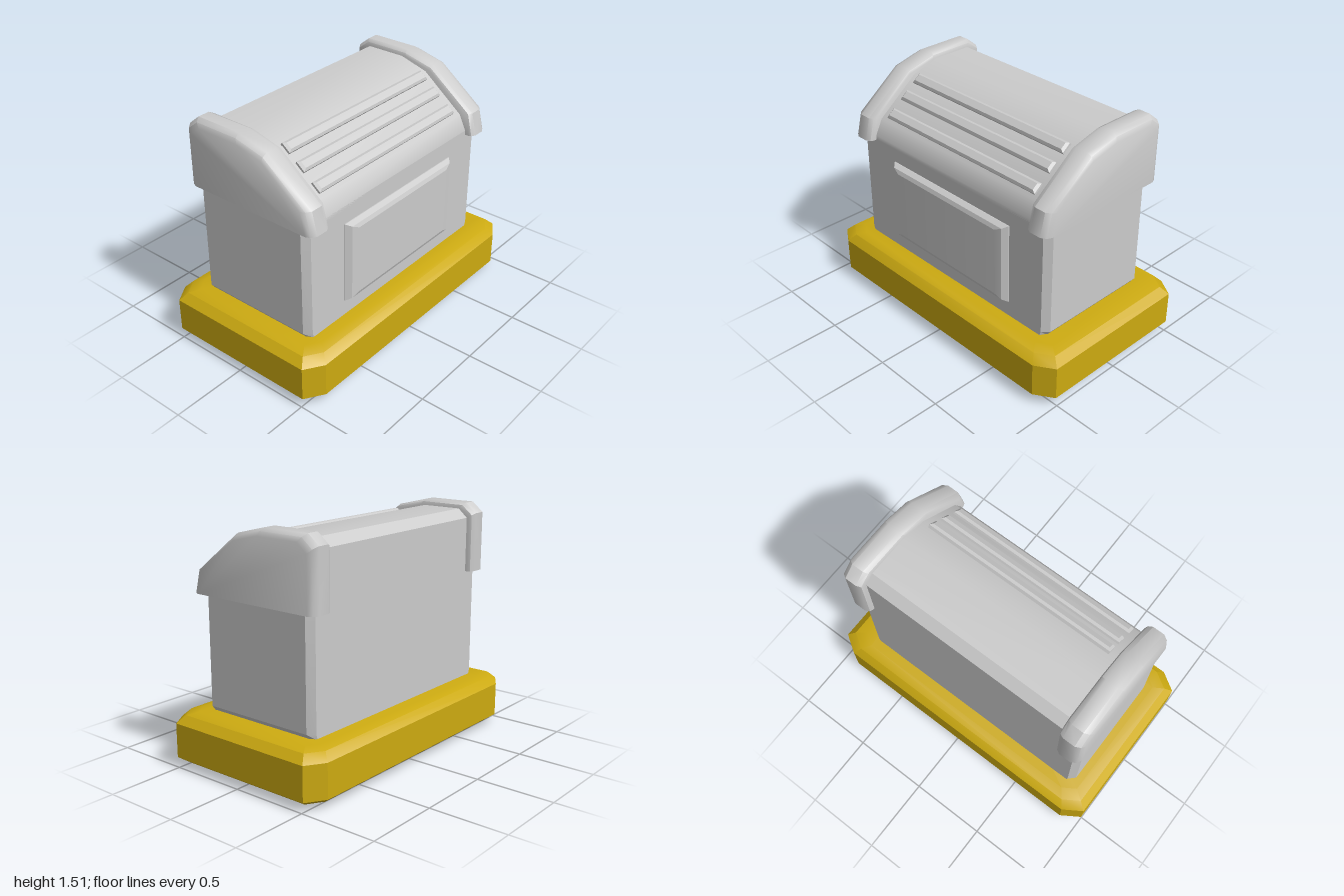
import * as THREE from 'three';
import { toCreasedNormals } from 'three/addons/utils/BufferGeometryUtils.js';

const grey = new THREE.MeshStandardMaterial({ color: 0xcccccc });
const gold = new THREE.MeshStandardMaterial({ color: 0xccaa11 });

// Skins a stack of matching convex rings and closes both ends.
function loft(rings, crease = 0.5) {
  const n = rings[0].length, pos = rings.flat(2), index = [];
  for (let r = 0; r < rings.length - 1; r++) {
    for (let i = 0; i < n; i++) {
      const a = r * n + i, b = r * n + (i + 1) % n;
      index.push(a, b, b + n, a, b + n, a + n);
    }
  }
  const last = (rings.length - 1) * n;
  for (let i = 1; i < n - 1; i++) {
    index.push(0, i + 1, i, last, last + i, last + i + 1);
  }
  // Turn the faces outward if the volume comes out negative
  const v = (i) => new THREE.Vector3().fromArray(pos, i * 3);
  let volume = 0;
  for (let i = 0; i < index.length; i += 3) {
    volume += v(index[i]).dot(v(index[i + 1]).cross(v(index[i + 2])));
  }
  if (volume < 0) index.reverse();
  const geo = new THREE.BufferGeometry();
  geo.setAttribute('position', new THREE.Float32BufferAttribute(pos, 3));
  geo.setIndex(index);
  return toCreasedNormals(geo, crease);
}

// Rectangle with cut corners at height y
const octagon = (w, d, cx, cz, y) => [
  [w, d - cz], [w - cx, d], [cx - w, d], [-w, d - cz],
  [-w, cz - d], [cx - w, -d], [w - cx, -d], [w, cz - d],
].map(([x, z]) => [x, y, z]);

const rectangle = (w, d, y) => [[w, y, d], [-w, y, d], [-w, y, -d], [w, y, -d]];

function add(parent, name, geometry, material = grey) {
  const mesh = new THREE.Mesh(geometry, material);
  mesh.name = name;
  parent.add(mesh);
  return mesh;
}

export function createModel() {
  const model = new THREE.Group();
  model.name = 'chest';

  // Bevelled plinth: [y, inset]
  const baseSteps = [[0, 0.12], [0.02, 0.065], [0.065, 0], [0.283, 0], [0.33, 0.05], [0.345, 0.115]];
  add(model, 'base', loft(baseSteps.map(([y, s]) =>
    octagon(1 - s, 0.587 - s * 0.9, 0.12 - s * 0.3, 0.077 - s * 0.2, y))), gold);

  // Body with narrow corner chamfers
  const body = add(model, 'body', loft([[0.335, 0.03], [0.375, 0], [1.1, 0]].map(([y, s]) =>
    octagon(0.83 - s, 0.42, 0.04 - s * 0.6, 0.04, y)), 0.3));
  body.position.x = -0.01;

  // Sloping roof between the end caps, as [z, y]
  const roofProfile = [[0.42, 1.07], [0.42, 1.1], [0.37, 1.2], [0.09, 1.42],
    [-0.1, 1.475], [-0.365, 1.475], [-0.428, 1.42], [-0.428, 1.07]];
  add(model, 'roof', loft([-0.76, 0.76].map((x) => roofProfile.map(([z, y]) => [x, y, z]))));

  // End caps: a rounded rim blends the outer and inset profiles
  const outer = [[0.478, 1.07], [0.443, 1.215], [0.125, 1.46], [-0.085, 1.512],
    [-0.4, 1.512], [-0.475, 1.45], [-0.475, 1.07]];
  const inset = [[0.43, 1.07], [0.392, 1.215], [0.125, 1.42], [-0.06, 1.465],
    [-0.355, 1.465], [-0.425, 1.41], [-0.425, 1.07]];
  const rim = [[0.697, 0.7], [0.705, 0.3], [0.732, 0], [0.81, 0], [0.842, 0.4], [0.856, 1]];
  for (const side of [1, -1]) {
    add(model, side > 0 ? 'leftEndCap' : 'rightEndCap', loft(rim.map(([x, t]) =>
      outer.map(([z, y], i) => [
        side * x,
        THREE.MathUtils.lerp(y, inset[i][1], t),
        THREE.MathUtils.lerp(z, inset[i][0], t),
      ])), 0.65));
  }

  // Raised front panel
  const panel = add(model, 'frontPanel', loft([
    rectangle(0.515, 0.267, -0.02), rectangle(0.515, 0.267, 0.005),
    rectangle(0.485, 0.25, 0.035), rectangle(0.435, 0.225, 0.045),
  ], 0.3));
  panel.rotation.x = Math.PI / 2;
  panel.position.set(0, 0.715, 0.42);

  // Three slats lying on the front slope
  const slat = loft([
    rectangle(0.648, 0.036, -0.01), rectangle(0.648, 0.036, 0.014), rectangle(0.632, 0.022, 0.027),
  ], 0.3);
  const slats = new THREE.Group();
  slats.name = 'slats';
  for (const z of [0.105, 0.21, 0.323]) {
    const bar = add(slats, 'slat', slat);
    bar.rotation.x = Math.atan2(0.22, 0.28);
    bar.position.set(0, 1.42 - (z - 0.09) * 0.22 / 0.28, z);
  }
  model.add(slats);

  return model;
}
